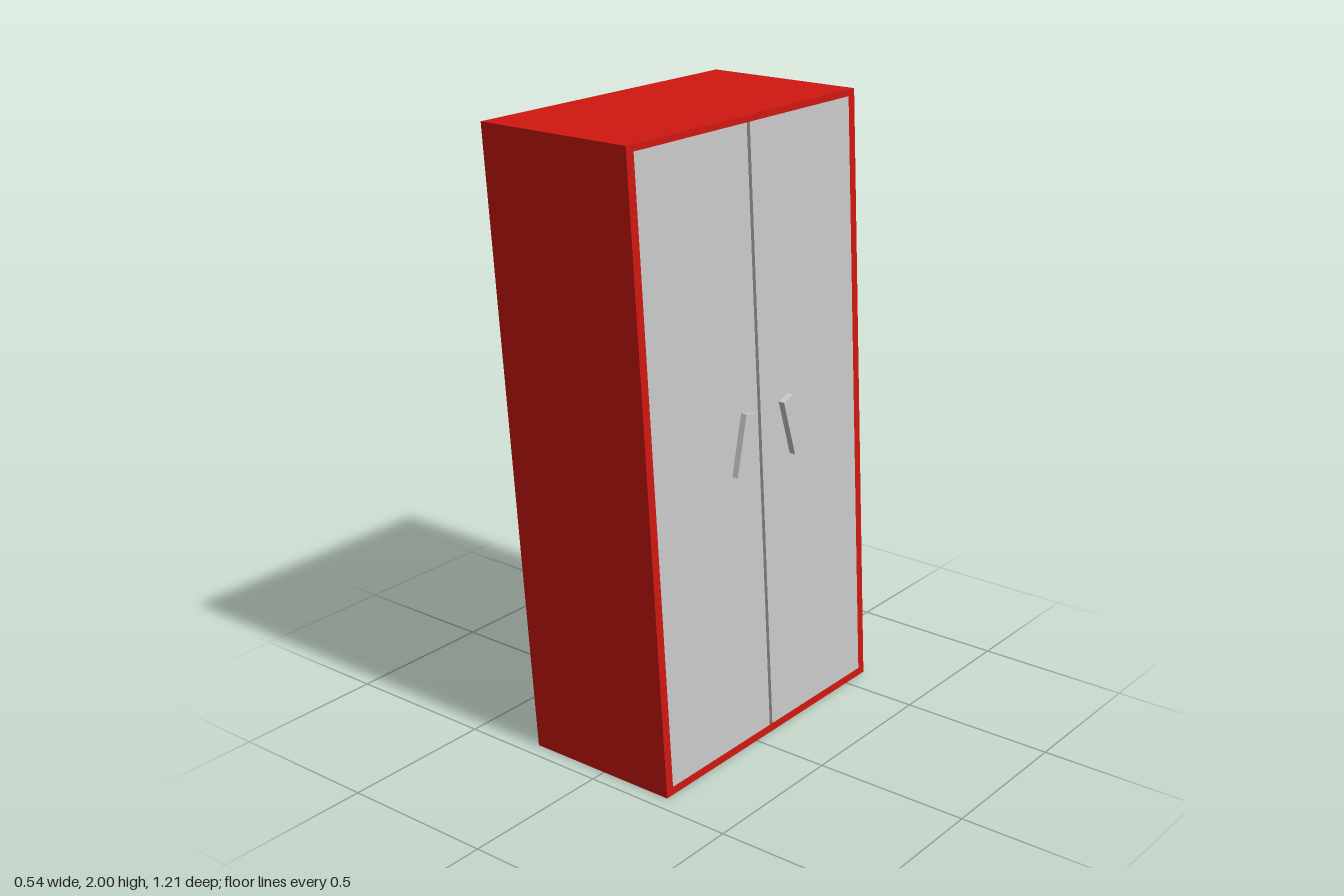
import * as THREE from 'three';

const LEAN = 0.155 / 2; // sideways shift per unit of height
const red = new THREE.MeshStandardMaterial({ color: 0xd01810 });
const grey = new THREE.MeshStandardMaterial({ color: 0xcccccc });

// Corners of a leaning panel as [z, y]; z values are measured at mid height
function leaning(zBack, zFront, yLow, yHigh) {
  const at = (z, y) => [z + (y - 1) * LEAN, y];
  return [at(zFront, yLow), at(zBack, yLow), at(zBack, yHigh), at(zFront, yHigh)];
}

// Extrudes a [z, y] outline along x from x0 to x1
function slab(name, outline, x0, x1, material, hole) {
  const toPoints = (list) => list.map(([z, y]) => new THREE.Vector2(-z, y));
  const shape = new THREE.Shape(toPoints(outline));
  if (hole) shape.holes.push(new THREE.Path(toPoints(hole)));
  const geometry = new THREE.ExtrudeGeometry(shape, { depth: x1 - x0, bevelEnabled: false });
  geometry.rotateY(Math.PI / 2).translate(x0, 0, 0);
  const mesh = new THREE.Mesh(geometry, material);
  mesh.name = name;
  return mesh;
}

export function createModel() {
  const group = new THREE.Group();
  group.name = 'leaningWardrobe';
  const back = -0.27, inner = 0.23, face = 0.25;
  const half = 0.526, rim = 0.03, gap = 0.007, low = 0.027, high = 1.98;

  // Cabinet body and the rim around the doors
  const outer = leaning(-half, half, 0, 2);
  group.add(slab('cabinetBody', outer, back, inner, red));
  group.add(slab('doorFrame', outer, inner, face, red, leaning(-half + rim, half - rim, low, high)));

  // Two doors with a narrow gap between them
  group.add(slab('frontDoor', leaning(gap, half - rim, low, high), inner, face, grey));
  group.add(slab('backDoor', leaning(-half + rim, -gap, low, high), inner, face, grey));

  // Crooked bar handles: [name, z, y, tilt]
  for (const [name, z, y, tilt] of [
    ['frontDoorHandle', 0.094, 1.026, -0.21],
    ['backDoorHandle', -0.143, 1.026, 0.325],
  ]) {
    const handle = new THREE.Mesh(new THREE.BoxGeometry(0.02, 0.193, 0.048), grey);
    handle.name = name;
    handle.position.set(0.26, y, z);
    handle.rotation.x = tilt;
    group.add(handle);
  }
  return group;
}
